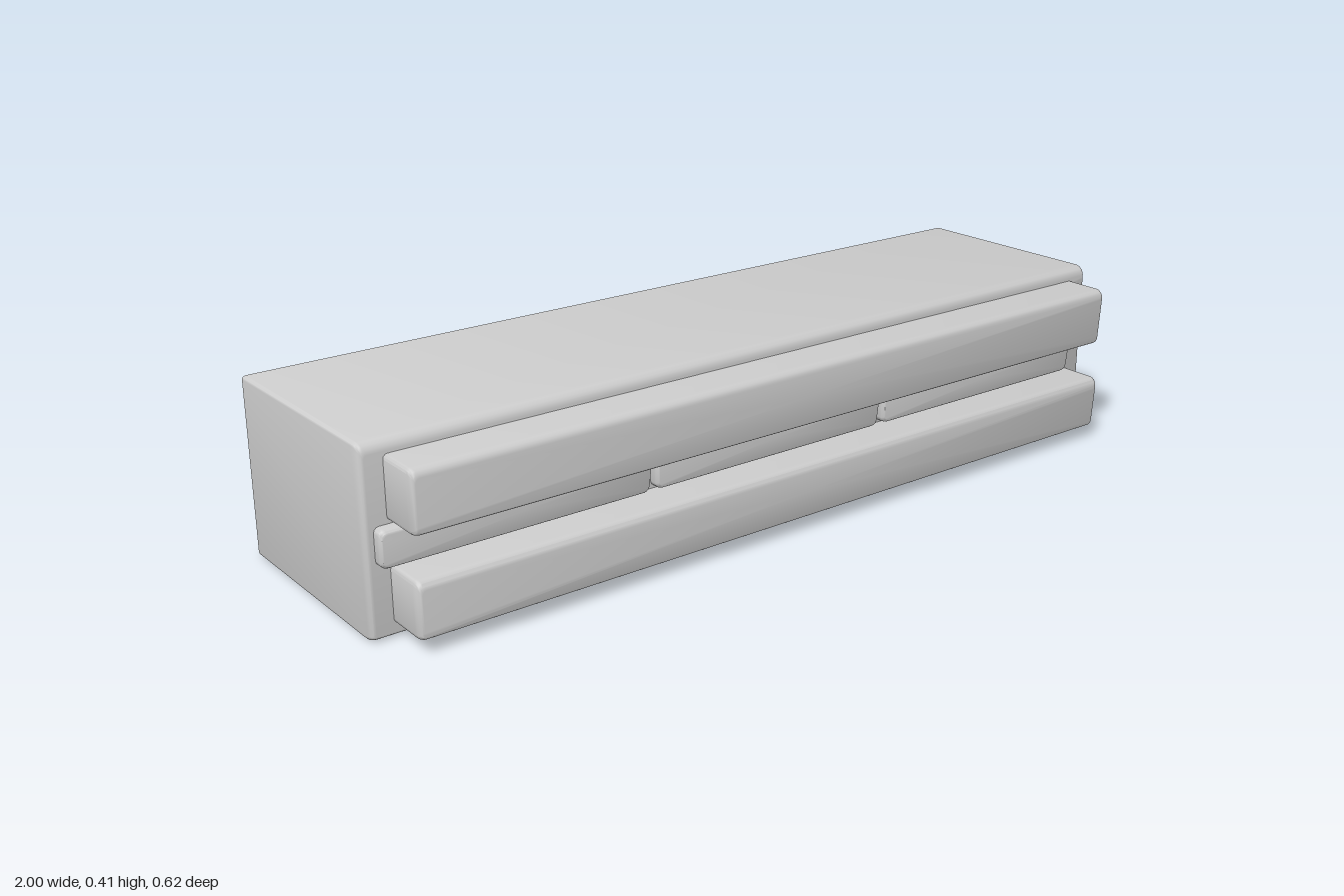
import * as THREE from 'three';
import { toCreasedNormals } from 'three/addons/utils/BufferGeometryUtils.js';

const material = new THREE.MeshStandardMaterial({ color: 0xcccccc, side: THREE.DoubleSide });

// Open-backed box with softly rounded front edges, built from cross-section loops.
// skew pulls the lower right corner inwards; drop lowers the top towards the back.
function openBox(name, { x0, x1, y0, y1, back, front, round, corner, skew = 0, drop = 0 }) {
  const sections = [{ z: back, inset: 0, drop }];
  for (let i = 0; i <= 4; i++) {
    const a = (i / 4) * Math.PI / 2;
    sections.push({ z: front - round * (1 - Math.sin(a)), inset: round * (1 - Math.cos(a)), drop: 0 });
  }
  const pos = [], index = [], n = 16;
  for (const s of sections) {
    const l = x0 + s.inset * 0.4, r = x1 - s.inset * 0.4;
    const b = y0 + s.inset * 0.4, t = y1 - s.inset * 0.8 - s.drop;
    [[r, t], [l, t], [l, b], [r, b]].forEach(([cx, cy], q) => {
      const sx = q === 0 || q === 3 ? 1 : -1, sy = q < 2 ? 1 : -1;
      for (let k = 0; k < 4; k++) {
        const a = (q + k / 3) * Math.PI / 2;
        const y = cy - sy * corner + corner * Math.sin(a);
        const lean = sx > 0 ? skew * (y1 - y) / (y1 - y0) : 0;
        pos.push(cx - sx * corner + corner * Math.cos(a) - lean, y, s.z);
      }
    });
  }
  // Side walls
  for (let i = 0; i < sections.length - 1; i++) {
    for (let j = 0; j < n; j++) {
      const a = i * n + j, b = i * n + (j + 1) % n;
      index.push(a, b, b + n, a, b + n, a + n);
    }
  }
  // Front face
  const base = (sections.length - 1) * n, centre = pos.length / 3;
  pos.push((x0 + x1) / 2, (y0 + y1) / 2, front);
  for (let j = 0; j < n; j++) index.push(base + j, base + (j + 1) % n, centre);

  const geo = new THREE.BufferGeometry();
  geo.setAttribute('position', new THREE.Float32BufferAttribute(pos, 3));
  geo.setIndex(index);
  const mesh = new THREE.Mesh(toCreasedNormals(geo, 0.6), material);
  mesh.name = name;
  return mesh;
}

export function createModel() {
  const model = new THREE.Group();
  model.name = 'wallBlock';

  // Hollow main body
  model.add(openBox('body', {
    x0: -1, x1: 1, y0: 0, y1: 0.408, back: -0.31, front: 0.203, round: 0.028, corner: 0.008, drop: 0.004,
  }));

  // Long protruding bars
  const bar = { x0: -0.95, x1: 0.95, back: 0.2, front: 0.31, round: 0.022, corner: 0.01, skew: 0.01 };
  model.add(openBox('upperBar', { ...bar, y0: 0.245, y1: 0.38 }));
  model.add(openBox('lowerBar', { ...bar, y0: 0.03, y1: 0.154 }));

  // Row of shallow slats between the bars
  for (let i = 0; i < 3; i++) {
    const x0 = -0.98 + i * 0.64;
    model.add(openBox('slat' + (i + 1), {
      x0, x1: x0 + 0.63, y0: 0.159, y1: 0.239, back: 0.2, front: 0.23, round: 0.013, corner: 0.012, skew: 0.01,
    }));
  }
  return model;
}
